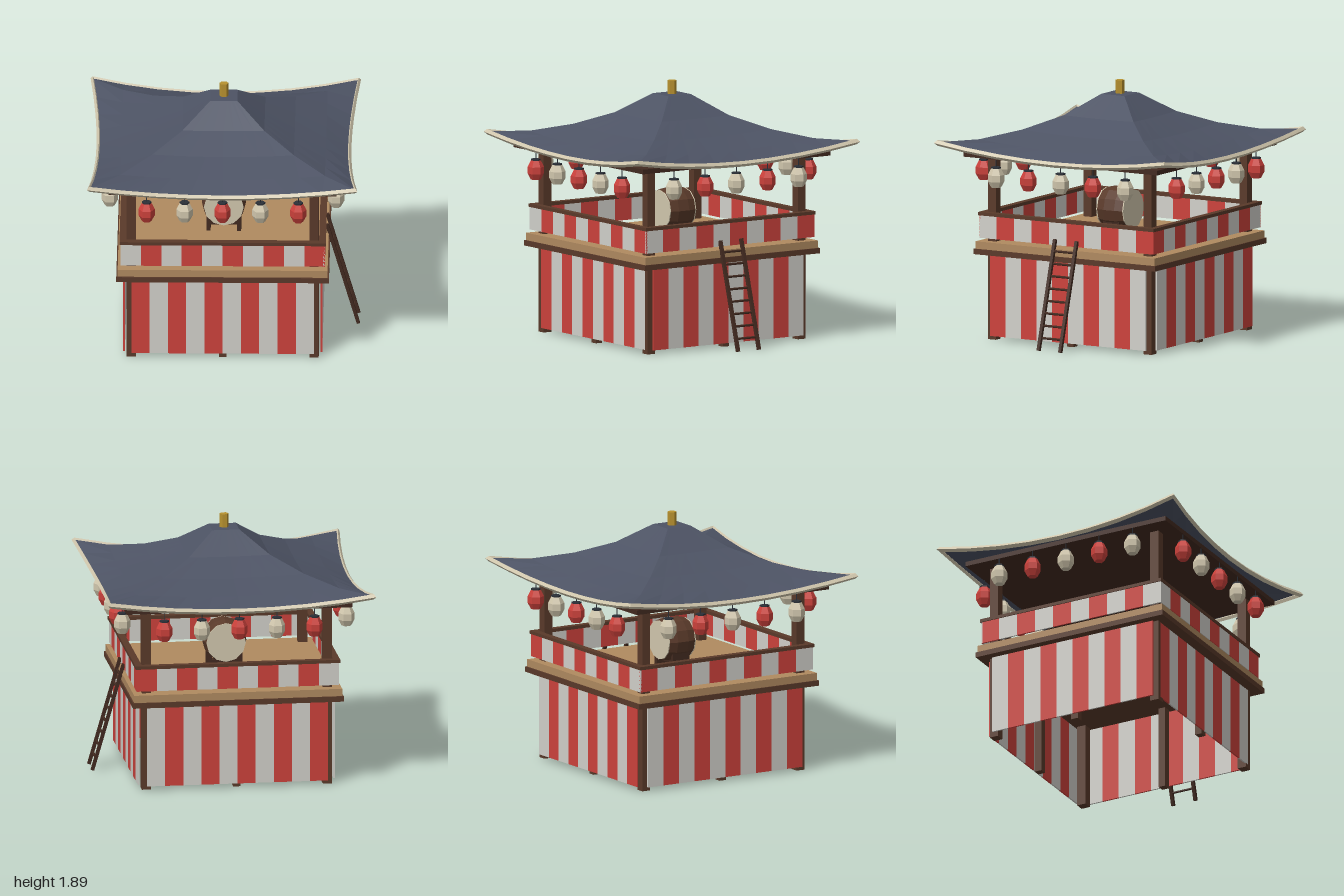
import * as THREE from 'three';

const mat = (name, color) => {
  const m = new THREE.MeshStandardMaterial({ color });
  m.name = name;
  m.flatShading = true;
  return m;
};

export function createModel() {
  const root = new THREE.Group();
  root.name = 'festivalTower';
  const navy = mat('roofSlate', 0x4d5364), cream = mat('cream', 0xd2c8ae), red = mat('red', 0xcd423c),
    white = mat('white', 0xd2d1cb), wood = mat('wood', 0x5a3a2a), dark = mat('darkWood', 0x422a20),
    tan = mat('plank', 0xb08a60), gold = mat('gold', 0xb8922f), cap = mat('lanternCap', 0x2b3038);
  navy.side = THREE.DoubleSide;

  const group = (name, parent = root) => {
    const g = new THREE.Group();
    g.name = name;
    parent.add(g);
    return g;
  };
  const add = (name, geo, m, x = 0, y = 0, z = 0, parent = root) => {
    const mesh = new THREE.Mesh(geo, m);
    mesh.name = name;
    mesh.position.set(x, y, z);
    parent.add(mesh);
    return mesh;
  };
  // Box given by its bottom height
  const box = (name, m, w, h, d, x, y, z, parent) =>
    add(name, new THREE.BoxGeometry(w, h, d), m, x, y + h / 2, z, parent);

  // Posts: tall at the corners, short under the middle of each side
  for (const s of [-1, 1]) {
    for (const t of [-1, 1]) box('cornerPost', wood, 0.068, 1.38, 0.068, s * 0.67, 0, t * 0.67);
    box('middlePost', wood, 0.055, 0.64, 0.055, s * 0.67, 0, 0);
    box('middlePost', wood, 0.055, 0.64, 0.055, 0, 0, s * 0.67);
  }

  // Platform
  box('platformBeam', wood, 1.56, 0.04, 1.56, 0, 0.635, 0);
  box('platformDeck', tan, 1.54, 0.055, 1.54, 0, 0.675, 0);

  // Striped cloth panels, ten stripes each
  const curtain = (name, width, y, h, dist, turn, colours) => {
    const g = group(name);
    const w = width / 10;
    for (let i = 0; i < 10; i++)
      box('stripe', colours[i % 2], w, h, 0.012, -width / 2 + (i + 0.5) * w, y, 0, g);
    g.rotation.y = turn;
    g.position.set(turn ? dist : 0, 0, turn ? 0 : dist);
  };
  for (const turn of [0, Math.PI / 2]) {
    for (const s of [-1, 1]) {
      curtain('lowerCurtain', 1.34, 0.03, 0.6, turn || s < 0 ? s * 0.724 : 0.699, turn, [red, white]);
      curtain('upperCurtain', 1.5, 0.755, 0.172, s * 0.744, turn, [white, red]);
    }
  }

  // Handrail around the deck
  for (const s of [-1, 1]) {
    box('handrail', wood, 1.515, 0.024, 0.05, 0, 0.923, s * 0.732);
    box('handrail', wood, 0.05, 0.024, 1.415, s * 0.732, 0.923, 0);
  }

  // Drum on its stand
  const drum = group('drum');
  const barrel = [[0.145, -0.11], [0.16, -0.045], [0.16, 0.045], [0.145, 0.11]].map(p => new THREE.Vector2(...p));
  add('drumBarrel', new THREE.LatheGeometry(barrel, 12), wood, 0, 0, 0, drum);
  for (const s of [-1, 1]) {
    add('drumSkin', new THREE.CylinderGeometry(0.146, 0.146, 0.008, 12), cream, 0, s * 0.112, 0, drum);
  }
  drum.rotation.x = Math.PI / 2;
  drum.position.y = 0.94;
  for (const s of [-1, 1]) box('drumStandLeg', dark, 0.03, 0.14, 0.14, s * 0.112, 0.73, 0);
  box('drumStandBar', dark, 0.22, 0.03, 0.05, 0, 0.76, 0);

  // Skin through square rings; each ring is [half size, corner size, height, corner height]
  const N = 8;
  const squareSkin = rings => {
    const pos = [], idx = [], M = 4 * N;
    for (const [mid, corner, y, cornerY] of rings)
      for (let k = 0; k < 4; k++)
        for (let j = 0; j < N; j++) {
          const t = -1 + (2 * j) / N;
          let x = t * corner, z = mid + (corner - mid) * t * t;
          for (let r = 0; r < k; r++) [x, z] = [z, -x];
          pos.push(x, y + (cornerY - y) * t * t, z);
        }
    for (let i = 0; i < rings.length - 1; i++)
      for (let j = 0; j < M; j++) {
        const a = i * M + j, b = i * M + ((j + 1) % M);
        idx.push(a, b, b + M, a, b + M, a + M);
      }
    const geo = new THREE.BufferGeometry();
    geo.setAttribute('position', new THREE.Float32BufferAttribute(pos, 3));
    geo.setIndex(idx);
    const flat = geo.toNonIndexed();
    flat.computeVertexNormals();
    return flat;
  };

  // Roof with upswept corners, eave trim, ceiling and finial
  add('roof', squareSkin([
    [0.92, 0.978, 1.386, 1.476], [0.75, 0.75, 1.452, 1.487], [0.52, 0.52, 1.53, 1.547],
    [0.3, 0.3, 1.638, 1.642], [0.1, 0.1, 1.79, 1.79], [0.001, 0.001, 1.79, 1.79],
  ]), navy);
  add('eaveTrim', squareSkin([
    [0.915, 0.973, 1.36, 1.45], [0.935, 0.992, 1.381, 1.471], [0.918, 0.976, 1.402, 1.492],
    [0.905, 0.963, 1.381, 1.471], [0.915, 0.973, 1.36, 1.45],
  ]), cream);
  box('ceiling', dark, 1.67, 0.035, 1.67, 0, 1.362, 0);
  add('finial', new THREE.CylinderGeometry(0.034, 0.034, 0.1, 6), gold, 0, 1.84, 0).rotation.y = Math.PI / 6;

  // Lanterns, five along each side in alternating colours
  const bodyGeo = new THREE.LatheGeometry(
    [[0, 1.155], [0.036, 1.155], [0.06, 1.2], [0.06, 1.25], [0.036, 1.298], [0, 1.298]].map(p => new THREE.Vector2(...p)), 6);
  const capGeo = new THREE.CylinderGeometry(0.036, 0.036, 0.014, 6);
  const cordGeo = new THREE.CylinderGeometry(0.004, 0.004, 0.07, 4);
  const lantern = (x, z, m) => {
    const g = group('lantern');
    add('lanternBody', bodyGeo, m, 0, 0, 0, g);
    add('lanternCap', capGeo, cap, 0, 1.302, 0, g);
    add('lanternCord', cordGeo, cap, 0, 1.34, 0, g);
    g.rotation.y = Math.PI / 6;
    g.position.set(x, 0, z);
  };
  for (let i = -2; i <= 2; i++)
    for (const s of [-1, 1]) {
      lantern(i * 0.278, s * 0.83, i % 2 ? cream : red);
      lantern(s * 0.83, i * 0.278, i % 2 ? red : cream);
    }

  // Leaning ladder on the left side
  const ladder = group('ladder');
  const lean = Math.atan2(0.232, 0.8);
  for (const s of [-1, 1])
    add('ladderRail', new THREE.BoxGeometry(0.024, 0.828, 0.024), dark, 0.872, 0.402, s * 0.093, ladder).rotation.z = lean;
  for (let i = 0; i < 8; i++) {
    const y = 0.095 + i * 0.0886;
    add('ladderRung', new THREE.CylinderGeometry(0.009, 0.009, 0.19, 6), dark,
      0.872 - (y - 0.402) * 0.29, y, 0, ladder).rotation.x = Math.PI / 2;
  }
  return root;
}
